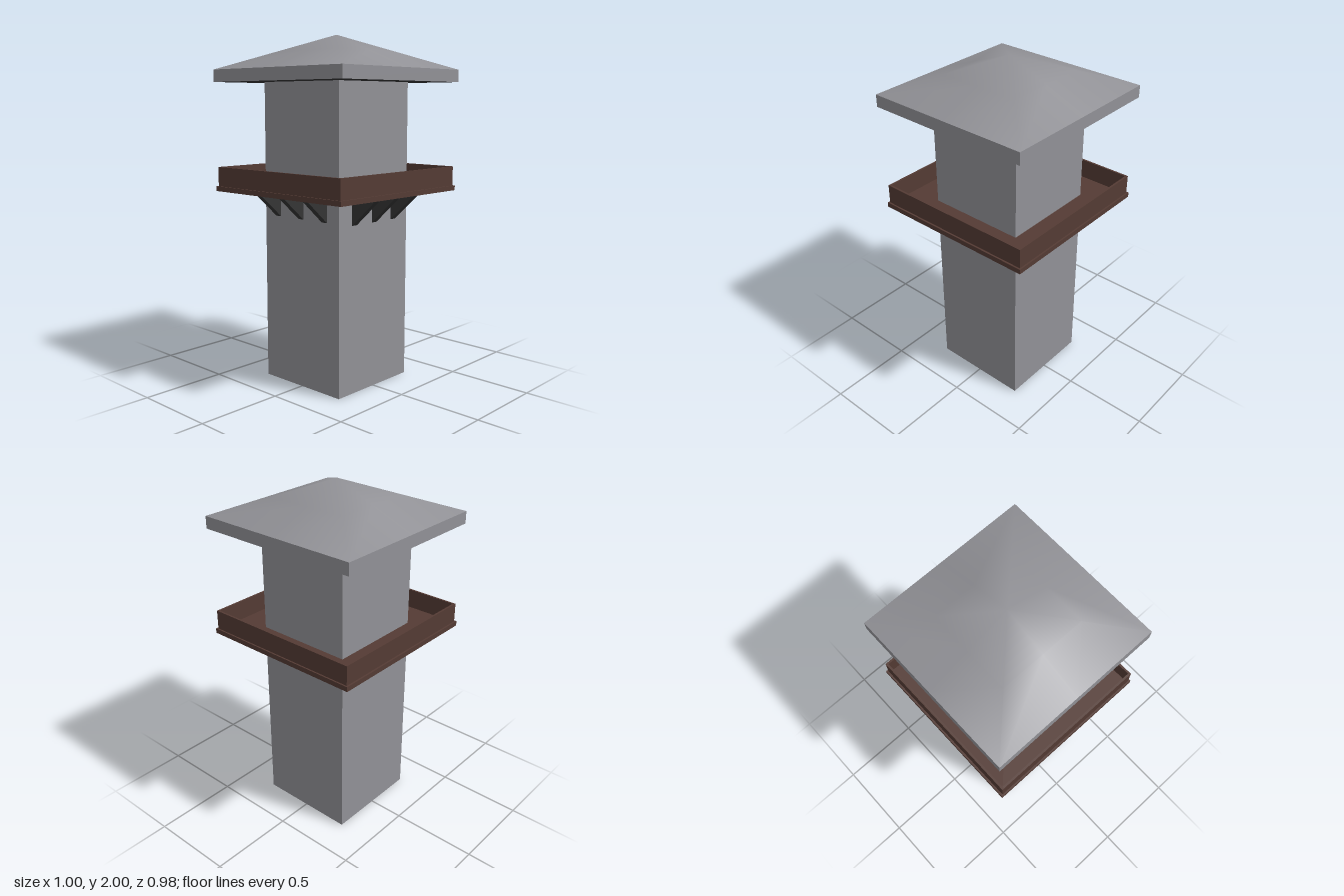
import * as THREE from 'three';
import { mergeVertices } from 'three/addons/utils/BufferGeometryUtils.js';

const mat = (name, color) => Object.assign(new THREE.MeshStandardMaterial({ color }), { name });

export function createModel() {
  const stone = mat('stone grey', 0x929297);
  const wood = mat('brown wood', 0x543b34);
  const dark = mat('dark timber', 0x343434);

  const model = new THREE.Group();
  model.name = 'watchtower';

  const add = (name, geometry, material, x = 0, y = 0, z = 0, parent = model) => {
    const mesh = new THREE.Mesh(geometry, material);
    mesh.name = name;
    mesh.position.set(x, y, z);
    parent.add(mesh);
    return mesh;
  };
  const box = (name, w, y0, y1, d, material, x = 0, z = 0, parent = model) =>
    add(name, new THREE.BoxGeometry(w, y1 - y0, d), material, x, (y0 + y1) / 2, z, parent);

  // Square shaft
  box('shaft', 0.58, 0, 1.74, 0.58, stone);

  // Balcony floor and thin parapet walls
  const balcony = new THREE.Group();
  balcony.name = 'balcony';
  model.add(balcony);
  box('balconyFloor', 0.985, 1.11, 1.138, 0.982, wood, 0, 0.002, balcony);
  const t = 0.012, rx = 0.482, rz = 0.482;
  for (const s of [-1, 1]) {
    box('parapetSide', t, 1.138, 1.25, rz * 2, wood, s * (rx - t / 2), 0.002, balcony);
    box('parapetEnd', (rx - t) * 2, 1.138, 1.25, t, wood, 0, 0.002 + s * (rz - t / 2), balcony);
  }

  // Three triangular brackets under each side of the balcony
  const bracketWidth = 0.04;
  const bracketGeometry = (reach, drop) => {
    const shape = new THREE.Shape([[0, 0], [0, -drop], [reach, 0]].map(p => new THREE.Vector2(...p)));
    return new THREE.ExtrudeGeometry(shape, { depth: bracketWidth, bevelEnabled: false })
      .translate(0.29, 1.11, -bracketWidth / 2);
  };
  const sideBracket = bracketGeometry(0.17, 0.155);
  const endBracket = bracketGeometry(0.155, 0.137);
  for (let side = 0; side < 4; side++) {
    const group = new THREE.Group();
    group.name = 'brackets';
    group.rotation.y = side * Math.PI / 2;
    model.add(group);
    const end = side % 2 === 1;
    for (const i of [-1, 0, 1]) {
      add('bracket', end ? endBracket : sideBracket, dark, 0, 0, i * (end ? 0.182 : 0.165), group);
    }
  }

  // Roof slab with dark underside
  box('roofSlab', 1, 1.735, 1.805, 0.98, [stone, stone, stone, dark, stone, stone]);

  // Softly shaded pyramid: an eight-sided cone pushed out to a square plan
  const cone = new THREE.ConeGeometry(1, 0.195, 8, 2, true);
  const p = cone.attributes.position;
  for (let i = 0; i < p.count; i++) {
    const x = p.getX(i), z = p.getZ(i);
    const m = Math.max(Math.abs(x), Math.abs(z));
    const k = m > 1e-6 ? Math.hypot(x, z) / m : 0;
    p.setXYZ(i, x * k * 0.5, p.getY(i), z * k * 0.49);
  }
  cone.deleteAttribute('normal');
  cone.deleteAttribute('uv');
  const pyramid = mergeVertices(cone, 1e-4);
  pyramid.computeVertexNormals();
  add('roofPyramid', pyramid, stone, 0, 1.805 + 0.0975, 0);

  return model;
}
